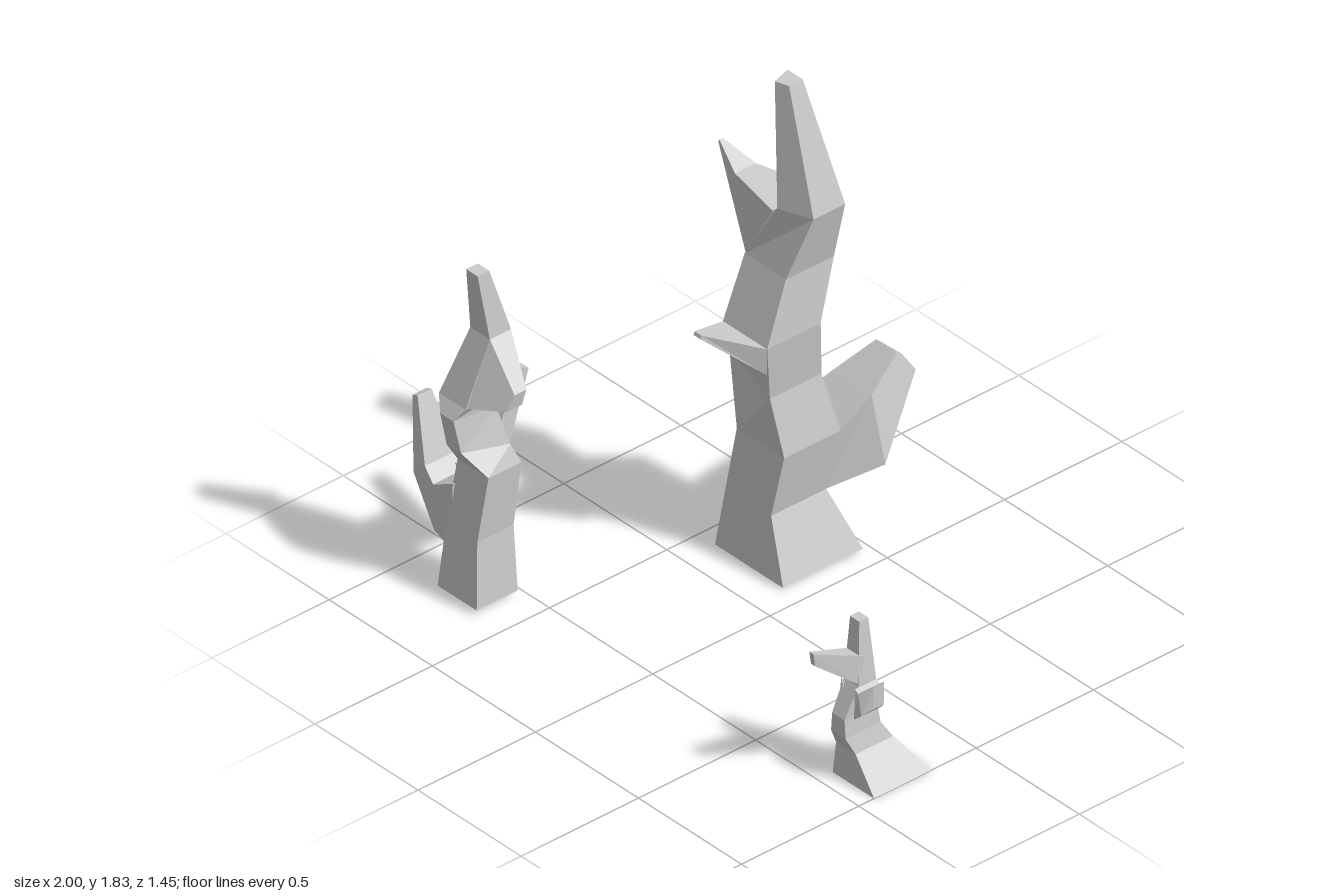
import * as THREE from 'three';

const material = new THREE.MeshStandardMaterial({ color: 0xcccccc, flatShading: true });

// Four-cornered cross-sections: level (trunks), then sideways and front/back limbs
// given by a lower and an upper edge.
const level = (y, x0, x1, zf, zb) => [[x0, y, zf], [x1, y, zf], [x1, y, zb], [x0, y, zb]];
const sideways = (xl, yl, xu, yu, z0, z1) => [[xl, yl, z0], [xl, yl, z1], [xu, yu, z1], [xu, yu, z0]];
const endways = (zl, yl, zu, yu, x0, x1) => [[x0, yl, zl], [x1, yl, zl], [x1, yu, zu], [x0, yu, zu]];

// Closed loft through the sections, turned outward by the sign of its volume
function loft(name, rings) {
  const tris = [];
  const quad = (a, b, c, d) => tris.push([a, b, c], [a, c, d]);
  for (let k = 0; k < rings.length - 1; k++) {
    for (let i = 0; i < 4; i++) {
      const j = (i + 1) % 4;
      quad(rings[k][i], rings[k][j], rings[k + 1][j], rings[k + 1][i]);
    }
  }
  const [a, b, c, d] = rings[0];
  quad(d, c, b, a);
  quad(...rings[rings.length - 1]);
  let volume = 0;
  for (const t of tris) {
    const [p, q, r] = t.map((v) => new THREE.Vector3(...v));
    volume += p.dot(q.cross(r));
  }
  if (volume < 0) tris.forEach((t) => t.reverse());
  const geometry = new THREE.BufferGeometry();
  geometry.setAttribute('position', new THREE.Float32BufferAttribute(tris.flat(2), 3));
  geometry.computeVertexNormals();
  const mesh = new THREE.Mesh(geometry, material);
  mesh.name = name;
  return mesh;
}

function plant(name, ...parts) {
  const group = new THREE.Group();
  group.name = name;
  group.add(...parts);
  return group;
}

function tallStump() {
  const collar = [[-0.35, 0.915, -0.107], [-0.135, 0.915, -0.107], [-0.135, 0.915, -0.335], [-0.35, 0.915, -0.335]];
  const bulge = [[-0.445, 0.69, -0.22], [-0.165, 0.69, -0.145], [-0.165, 0.69, -0.365], [-0.4, 0.69, -0.445]];
  return plant('tallStump',
    loft('tallTrunk', [
      level(0.01, -0.41, -0.08, -0.126, -0.466),
      level(0.235, -0.385, -0.165, -0.15, -0.385),
      level(0.465, -0.36, -0.13, -0.175, -0.415),
      bulge,
      collar,
      level(1.14, -0.345, -0.145, -0.195, -0.4),
      [[-0.215, 1.37, -0.22], [-0.09, 1.37, -0.265], [-0.09, 1.37, -0.4], [-0.265, 1.375, -0.4]],
      [[-0.255, 1.83, -0.245], [-0.205, 1.83, -0.262], [-0.205, 1.83, -0.32], [-0.28, 1.83, -0.32]],
    ]),
    loft('forkBranch', [
      sideways(-0.345, 1.14, -0.215, 1.37, -0.4, -0.2),
      sideways(-0.445, 1.33, -0.42, 1.4, -0.31, -0.22),
      sideways(-0.535, 1.452, -0.53, 1.462, -0.265, -0.25),
    ]),
    loft('frontThorn', [
      [bulge[0], [-0.135, 0.815, -0.107], collar[1], collar[0]],
      [[-0.32, 0.945, 0.045], [-0.285, 0.945, 0.045], [-0.285, 0.957, 0.04], [-0.32, 0.957, 0.04]],
    ]),
    loft('rearBranch', [
      [[-0.385, 0.235, -0.385], [-0.165, 0.235, -0.385], [-0.13, 0.465, -0.415], [-0.36, 0.465, -0.415]],
      [[-0.22, 0.335, -0.595], [-0.055, 0.315, -0.54], [-0.11, 0.56, -0.53], [-0.3, 0.56, -0.53]],
      [[-0.18, 0.6, -0.72], [-0.095, 0.59, -0.705], [-0.13, 0.66, -0.655], [-0.23, 0.66, -0.655]],
    ]));
}

function middleStump() {
  return plant('middleStump',
    loft('middleTrunk', [
      level(0.02, -0.81, -0.62, 0.705, 0.53),
      level(0.265, -0.79, -0.64, 0.685, 0.53),
      level(0.51, -0.77, -0.62, 0.655, 0.515),
      [[-0.76, 0.595, 0.71], [-0.69, 0.595, 0.71], [-0.645, 0.58, 0.54], [-0.79, 0.58, 0.54]],
      [[-0.775, 0.715, 0.725], [-0.71, 0.715, 0.725], [-0.685, 0.715, 0.565], [-0.81, 0.715, 0.565]],
      level(0.76, -0.815, -0.685, 0.695, 0.572),
      level(1.0, -0.765, -0.67, 0.605, 0.515),
      level(1.25, -0.745, -0.69, 0.64, 0.59),
    ]),
    loft('shoulderStub', [
      [[-0.69, 0.76, 0.572], [-0.69, 0.76, 0.69], [-0.67, 1.0, 0.605], [-0.67, 1.0, 0.515]],
      [[-0.56, 0.785, 0.565], [-0.56, 0.785, 0.63], [-0.55, 0.845, 0.605], [-0.55, 0.845, 0.555]],
    ]),
    loft('sideArm', [
      sideways(-0.78, 0.165, -0.77, 0.42, 0.545, 0.675),
      sideways(-0.855, 0.2, -0.86, 0.375, 0.545, 0.68),
      sideways(-0.955, 0.375, -0.9, 0.425, 0.545, 0.68),
      sideways(-1.0, 0.635, -0.975, 0.645, 0.585, 0.645),
    ]),
    loft('rearArm', [
      endways(0.57, 0.25, 0.57, 0.4, -0.955, -0.855),
      endways(0.46, 0.2, 0.465, 0.37, -0.955, -0.855),
      endways(0.39, 0.27, 0.41, 0.43, -0.945, -0.86),
      endways(0.255, 0.625, 0.305, 0.65, -0.915, -0.88),
    ]));
}

function smallStump() {
  // Short stubs mirrored about the trunk at x = 0.86
  const stubs = [-1, 1].map((s) => loft(s < 0 ? 'rightStub' : 'leftStub', [
    sideways(0.86 + s * 0.025, 0.24, 0.86 + s * 0.03, 0.36, 0.325, 0.42),
    sideways(0.86 + s * 0.055, 0.265, 0.86 + s * 0.04, 0.345, 0.325, 0.415),
    sideways(0.86 + s * 0.073, 0.285, 0.86 + s * 0.075, 0.375, 0.335, 0.38),
  ]));
  return plant('smallStump',
    loft('smallTrunk', [
      level(0, 0.8, 1.0, 0.435, 0.19),
      level(0.12, 0.81, 0.905, 0.43, 0.27),
      level(0.185, 0.82, 0.89, 0.46, 0.31),
      level(0.255, 0.825, 0.885, 0.46, 0.32),
      level(0.365, 0.82, 0.89, 0.405, 0.33),
      level(0.6, 0.83, 0.875, 0.388, 0.35),
    ]),
    loft('frontSpike', [
      endways(0.39, 0.36, 0.38, 0.47, 0.822, 0.888),
      endways(0.565, 0.5, 0.572, 0.55, 0.842, 0.862),
    ]),
    ...stubs);
}

export function createModel() {
  const model = plant('stumps', tallStump(), middleStump(), smallStump());
  return model;
}
